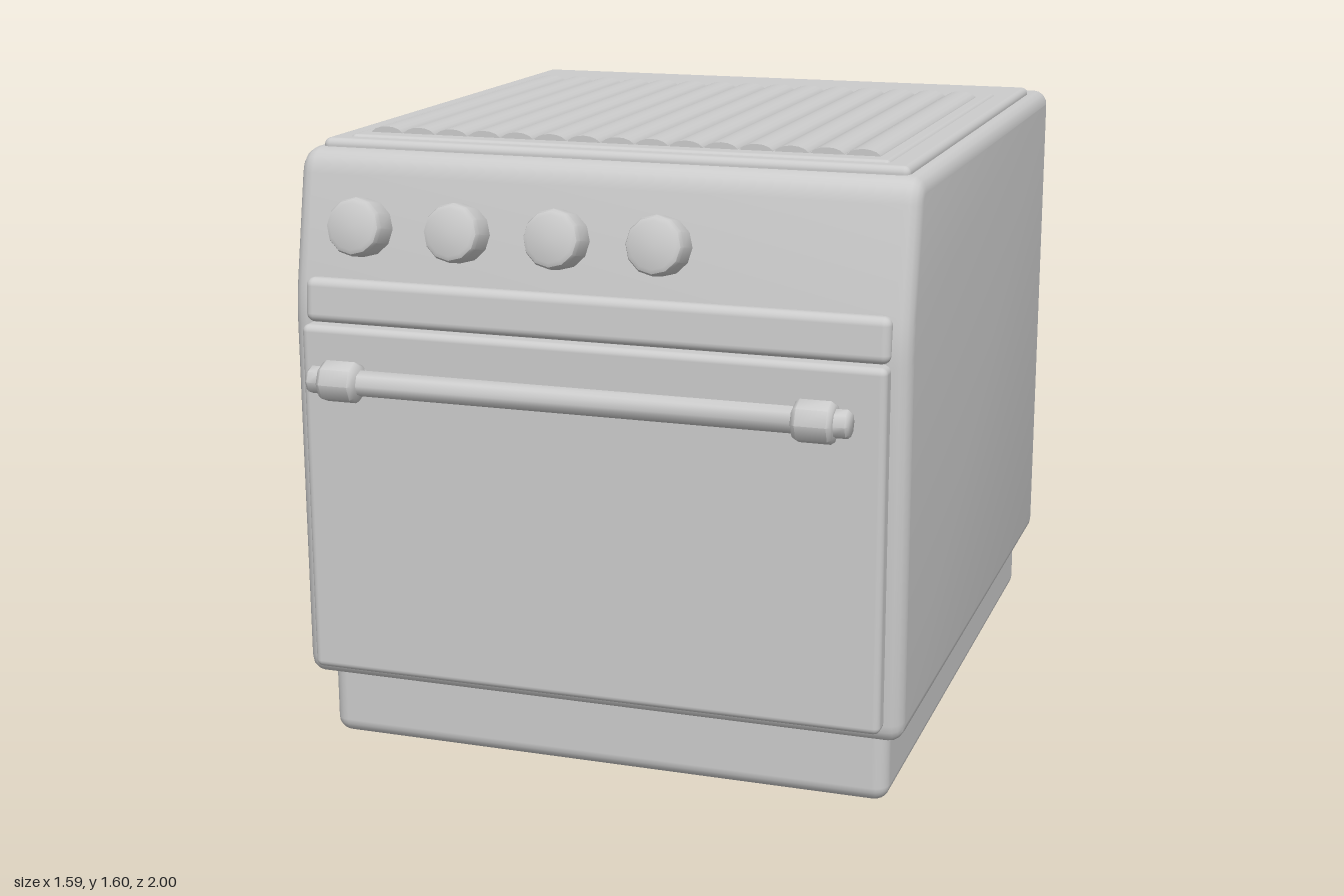
import * as THREE from 'three';
import { toCreasedNormals } from 'three/addons/utils/BufferGeometryUtils.js';
import { RoundedBoxGeometry } from 'three/addons/geometries/RoundedBoxGeometry.js';

const grey = new THREE.MeshStandardMaterial({ color: 0xcccccc });

function add(parent, name, geometry, x = 0, y = 0, z = 0) {
  const mesh = new THREE.Mesh(geometry, grey);
  mesh.name = name;
  mesh.position.set(x, y, z);
  parent.add(mesh);
  return mesh;
}

// Rounded box given by half width and its y and z ranges
function block(parent, name, halfX, [y0, y1], [z0, z1], radius) {
  const geometry = new RoundedBoxGeometry(halfX * 2, y1 - y0, z1 - z0, 3, radius);
  return add(parent, name, geometry, 0, (y0 + y1) / 2, (z0 + z1) / 2);
}

// Side profile of [z, y, corner radius] points, extruded across x with rounded edges
function sideExtrude(profile, halfX, bevel) {
  const points = profile.map(([z, y]) => new THREE.Vector2(z, y));
  const shape = new THREE.Shape();
  points.forEach((p, i) => {
    const n = points.length, r = profile[i][2];
    const from = points[(i + n - 1) % n].clone().sub(p).setLength(r).add(p);
    const to = points[(i + 1) % n].clone().sub(p).setLength(r).add(p);
    if (i) shape.lineTo(from.x, from.y); else shape.moveTo(from.x, from.y);
    shape.quadraticCurveTo(p.x, p.y, to.x, to.y);
  });
  shape.closePath();
  const geometry = new THREE.ExtrudeGeometry(shape, {
    depth: 2 * (halfX - bevel), curveSegments: 5, bevelEnabled: true,
    bevelThickness: bevel, bevelSize: bevel, bevelOffset: -bevel, bevelSegments: 4,
  });
  geometry.translate(0, 0, bevel - halfX);
  geometry.rotateY(-Math.PI / 2);
  return toCreasedNormals(geometry, 0.6);
}

function turned(points, sides, crease) {
  const profile = points.map(([r, h]) => new THREE.Vector2(r, h));
  return toCreasedNormals(new THREE.LatheGeometry(profile, sides), crease);
}

export function createModel() {
  const model = new THREE.Group();
  model.name = 'cooker';

  // Plinth and body with the sloped control panel
  block(model, 'plinth', 0.75, [0, 0.24], [-0.955, 0.775], 0.04);
  add(model, 'body', sideExtrude([
    [-1, 0.18, 0.05], [0.825, 0.18, 0.05], [0.825, 1.18, 0.06],
    [0.75, 1.555, 0.06], [-1, 1.555, 0.05],
  ], 0.795, 0.04));

  // Door and the trim band above it
  block(model, 'door', 0.75, [0.22, 1.13], [0.78, 0.87], 0.018);
  const band = block(model, 'trimBand', 0.75, [1.13, 1.243], [0.77, 0.845], 0.022);
  band.rotation.x = -0.06;

  // Hob plate, raised panel and the row of ribs
  block(model, 'hobPlate', 0.755, [1.5, 1.575], [-0.87, 0.7], 0.018);
  block(model, 'hobPanel', 0.7, [1.52, 1.581], [-0.65, 0.66], 0.015);
  const ribs = new THREE.Group();
  ribs.name = 'hobRibs';
  model.add(ribs);
  const count = 15, pitch = 1.33 / count;
  const ribGeometry = new THREE.CylinderGeometry(1, 1, 1.145, 16);
  ribGeometry.rotateX(Math.PI / 2);
  ribGeometry.scale(pitch / 2, 0.022, 1);
  for (let i = 0; i < count; i++) {
    add(ribs, 'rib', ribGeometry, (i - (count - 1) / 2) * pitch, 1.575, 0.0325);
  }

  // Four knobs square to the sloped panel
  const knobGeometry = turned([
    [0.069, -0.02], [0.073, 0], [0.073, 0.066], [0.068, 0.078], [0.058, 0.083], [0, 0.083],
  ], 12, 0.62);
  knobGeometry.rotateX(Math.PI / 2);
  for (let i = 0; i < 4; i++) {
    const knob = add(model, 'knob', knobGeometry, -0.6 + i * 0.26, 1.37, 0.787);
    knob.rotation.x = -0.2;
  }

  // Handle bar turned in one piece, with collars, tips and two stand-offs
  const half = [
    [0.033, 0.55], [0.045, 0.555], [0.052, 0.565], [0.052, 0.64], [0.045, 0.65],
    [0.035, 0.652], [0.035, 0.68], [0.028, 0.688], [0, 0.688],
  ];
  const mirrored = half.map(([r, h]) => [r, -h]).reverse();
  const handle = new THREE.Group();
  handle.name = 'doorHandle';
  handle.position.set(0, 1.014, 0.948);
  model.add(handle);
  const bar = turned([...mirrored, ...half], 8, 0.9);
  bar.rotateZ(-Math.PI / 2);
  add(handle, 'handleBar', bar);
  const post = new THREE.CylinderGeometry(0.025, 0.025, 0.1, 12);
  post.rotateX(Math.PI / 2);
  for (const side of [-1, 1]) add(handle, 'handlePost', post, side * 0.595, 0, -0.05);

  return model;
}
